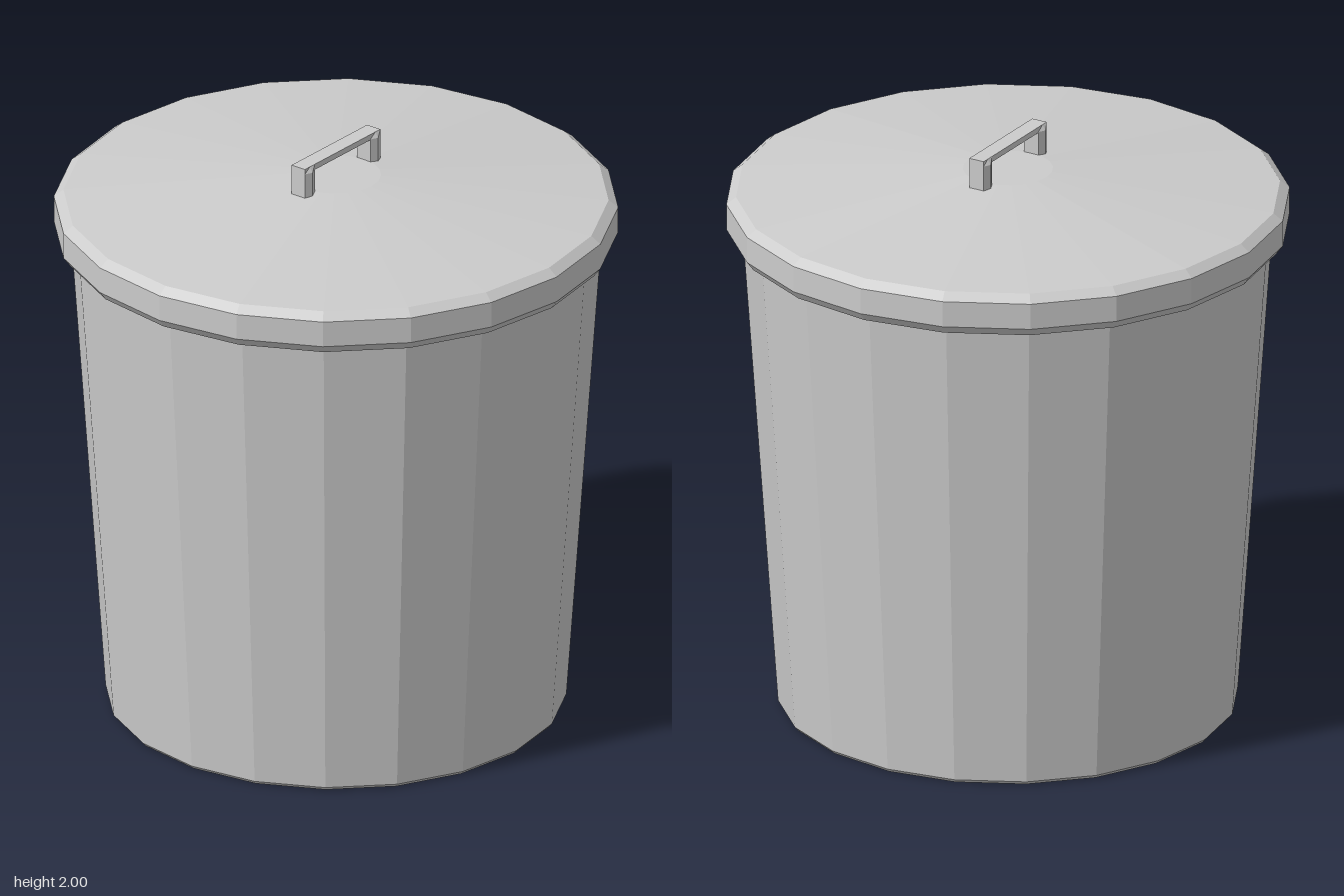
import * as THREE from 'three';

const SIDES = 20;

export function createModel() {
  const group = new THREE.Group();
  const material = new THREE.MeshStandardMaterial({ color: 0xcccccc, flatShading: true });

  const add = (name, geometry, parent = group) => {
    const mesh = new THREE.Mesh(geometry, material);
    mesh.name = name;
    parent.add(mesh);
    return mesh;
  };
  // faceted solid of revolution, profile listed from bottom to top
  const turned = (profile) =>
    new THREE.LatheGeometry(profile.map(([r, y]) => new THREE.Vector2(r, y)), SIDES);

  // tapered bin with a small bevel around its base
  add('binBody', turned([[0, 0], [0.755, 0], [0.765, 0.012], [0.883, 1.7]]));

  // shallow conical lid with a bevelled rim and a closed underside
  add('lid', turned([
    [0, 1.68], [0.915, 1.68], [0.937, 1.71], [0.937, 1.8],
    [0.905, 1.825], [0.15, 1.9], [0, 1.9],
  ]));

  // handle: two hexagonal posts, chamfered at the top, joined by a flat bar
  const handle = new THREE.Group();
  handle.name = 'handle';
  group.add(handle);

  const post = new THREE.CylinderGeometry(1, 1, 2, 6, 2, false, Math.PI / 2);
  const p = post.attributes.position;
  for (let i = 0; i < p.count; i++) {
    const x = p.getX(i), y = p.getY(i);
    const halfWidth = Math.abs(x) > 0.9 && y < 0.5 ? 0.04 : 0.028;
    p.setXYZ(
      i,
      Math.abs(x) < 0.1 ? 0 : Math.sign(x) * halfWidth,
      y > 0.5 ? 2 : y > -0.5 ? 1.982 : 1.88,
      p.getZ(i) * 0.0265 / 0.866
    );
  }
  for (const side of [1, -1]) {
    add(side > 0 ? 'frontPost' : 'backPost', post, handle).position.z = side * 0.174;
  }
  add('handleBar', new THREE.BoxGeometry(0.056, 0.02, 0.34), handle).position.y = 1.99;

  return group;
}
